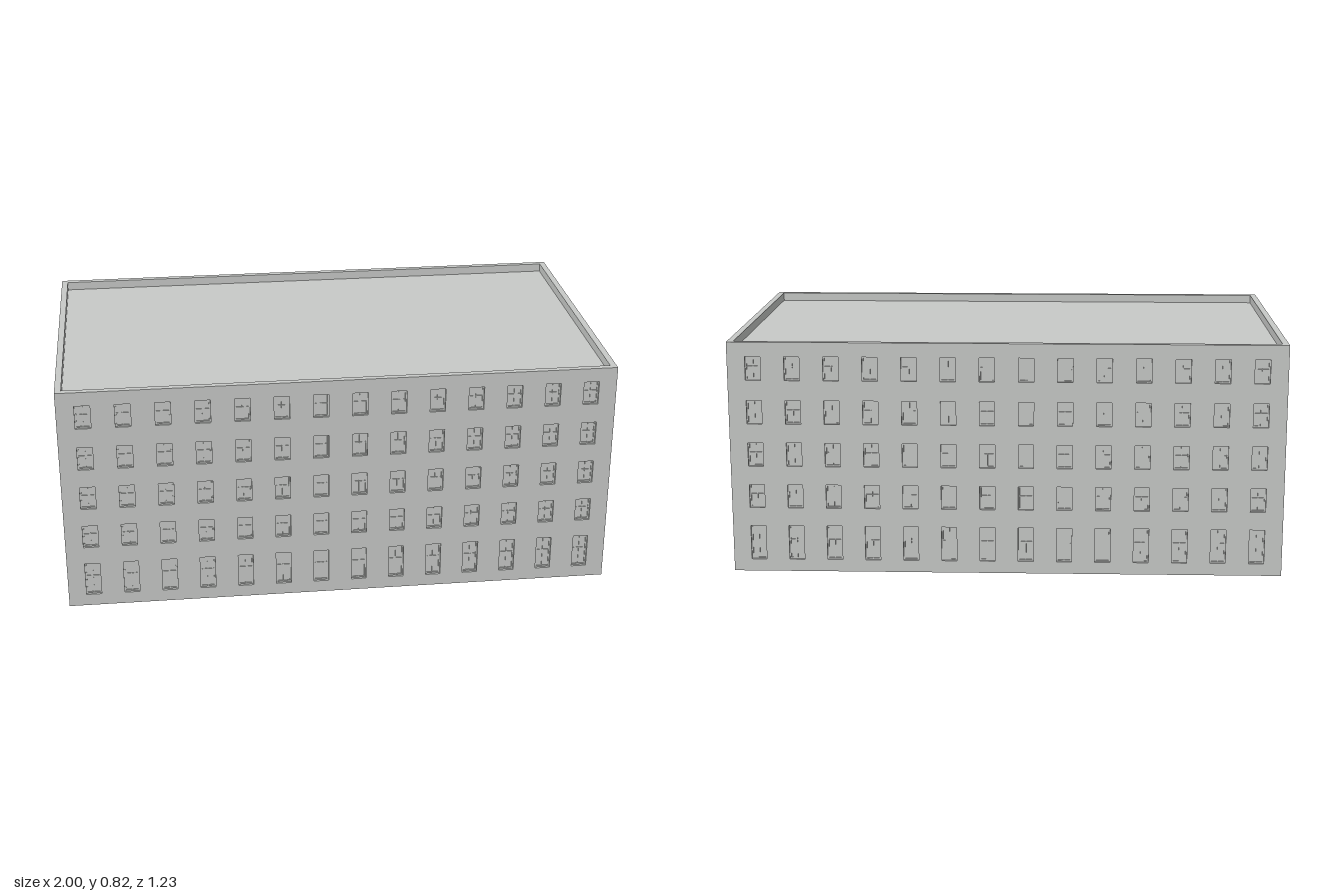
import * as THREE from 'three';
import { mergeGeometries } from 'three/addons/utils/BufferGeometryUtils.js';

const LENGTH = 1.921, WIDTH = 1.088, HEIGHT = 0.82;
const WALL = 0.022, ROOF_Y = 0.79, RECESS = 0.012;
const WIN_W = 0.053;
// [bottom, height] of each storey's windows
const ROWS = [[0.043, 0.123], [0.231, 0.084], [0.381, 0.084], [0.532, 0.084], [0.686, 0.084]];

const plaster = new THREE.MeshStandardMaterial({ color: 0xc8cac8 });
plaster.name = 'pale grey plaster';

function box(w, h, d, x, y, z) {
  return new THREE.BoxGeometry(w, h, d).translate(x, y, z);
}

// Recessed pane with a frame and glazing bars; z = 0 is the outer wall face
function windowParts(x, y, h) {
  const f = 0.005, bar = 0.003, d = 0.004, z = -RECESS + d / 2, cy = y + h / 2;
  return [
    box(WIN_W, h, 0.004, x, cy, -RECESS - 0.002),
    box(f, h, d, x - WIN_W / 2 + f / 2, cy, z),
    box(f, h, d, x + WIN_W / 2 - f / 2, cy, z),
    box(WIN_W - 2 * f, f, d, x, y + f / 2, z),
    box(WIN_W - 2 * f, f, d, x, y + h - f / 2, z),
    box(bar, h - 2 * f, d * 0.7, x, cy, z - d * 0.15),
    box(WIN_W - 2 * f, bar, d * 0.7, x, y + h * 0.57, z - d * 0.15),
  ];
}

// Wall with window openings, outer face at z = 0 looking to +z
function makeFacade(name, length, columns, reach) {
  const facade = new THREE.Group();
  facade.name = name;
  const shape = new THREE.Shape();
  shape.moveTo(-length / 2, 0).lineTo(length / 2, 0);
  shape.lineTo(length / 2, HEIGHT).lineTo(-length / 2, HEIGHT).closePath();
  const parts = [];
  for (let i = 0; i < columns; i++) {
    const x = -reach + (2 * reach * i) / (columns - 1);
    for (const [y, h] of ROWS) {
      const hole = new THREE.Path();
      hole.moveTo(x - WIN_W / 2, y).lineTo(x - WIN_W / 2, y + h);
      hole.lineTo(x + WIN_W / 2, y + h).lineTo(x + WIN_W / 2, y).closePath();
      shape.holes.push(hole);
      parts.push(...windowParts(x, y, h));
    }
  }
  const wallGeo = new THREE.ExtrudeGeometry(shape, { depth: WALL, bevelEnabled: false });
  const wall = new THREE.Mesh(wallGeo.translate(0, 0, -WALL), plaster);
  wall.name = 'wall';
  const windows = new THREE.Mesh(mergeGeometries(parts), plaster);
  windows.name = 'windows';
  facade.add(wall, windows);
  return facade;
}

export function createModel() {
  const building = new THREE.Group();
  building.name = 'building';

  // Long facades, then short ones fitted between them
  for (const side of [1, -1]) {
    const long = makeFacade(side > 0 ? 'frontFacade' : 'backFacade', LENGTH, 14, 0.872);
    long.position.z = side * WIDTH / 2;
    long.rotation.y = side > 0 ? 0 : Math.PI;
    const short = makeFacade(side > 0 ? 'leftFacade' : 'rightFacade', WIDTH - 2 * WALL, 8, 0.46);
    short.position.x = side * LENGTH / 2;
    short.rotation.y = side * Math.PI / 2;
    building.add(long, short);
  }

  // Roof sunk behind the parapet, and the closed underside
  const inL = LENGTH - 2 * WALL, inW = WIDTH - 2 * WALL;
  const roof = new THREE.Mesh(box(inL, 0.02, inW, 0, ROOF_Y - 0.01, 0), plaster);
  roof.name = 'roof';
  const floor = new THREE.Mesh(box(inL, 0.02, inW, 0, 0.01, 0), plaster);
  floor.name = 'floor';
  building.add(roof, floor);

  // The block stands slightly turned on its site
  building.rotation.y = 0.0757;
  const model = new THREE.Group();
  model.name = 'officeBlock';
  model.add(building);
  return model;
}
